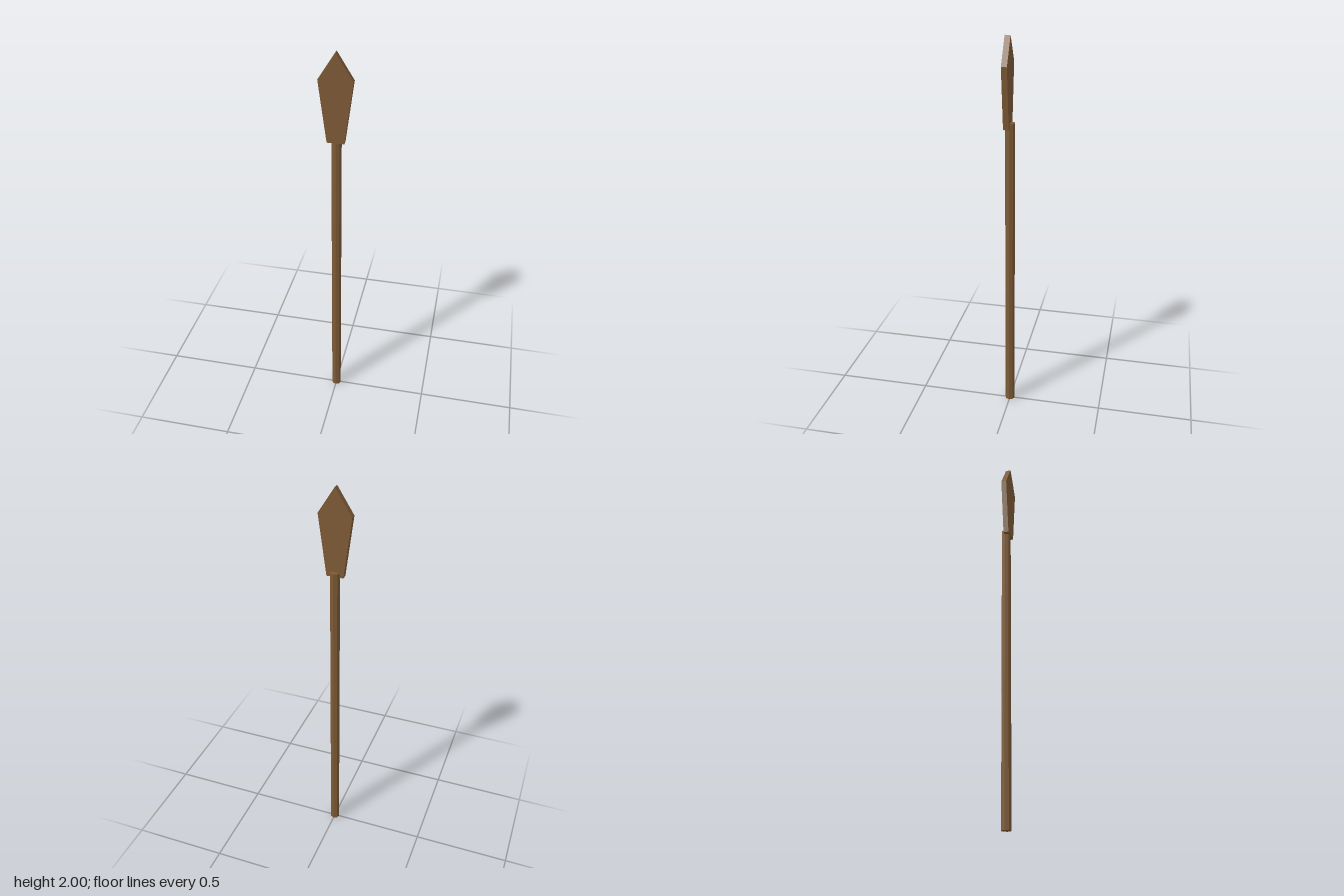
import * as THREE from 'three';

export function createModel() {
  const group = new THREE.Group();
  const wood = new THREE.MeshStandardMaterial({ color: 0x7d5a36, flatShading: true });

  // Eight-sided shaft with an edge facing front and back
  const shaftHeight = 1.59;
  const shaft = new THREE.Mesh(new THREE.CylinderGeometry(0.025, 0.025, shaftHeight, 8), wood);
  shaft.name = 'shaft';
  shaft.position.y = shaftHeight / 2;
  group.add(shaft);

  // Flat pointed blade, set on the front half of the shaft
  const outline = new THREE.Shape([
    [-0.042, 1.565], [0.042, 1.565], [0.082, 1.87], [0, 2], [-0.082, 1.87],
  ].map(([x, y]) => new THREE.Vector2(x, y)));
  const blade = new THREE.Mesh(
    new THREE.ExtrudeGeometry(outline, { depth: 0.028, bevelEnabled: false }), wood);
  blade.name = 'blade';
  blade.position.z = -0.0025;
  group.add(blade);

  return group;
}
